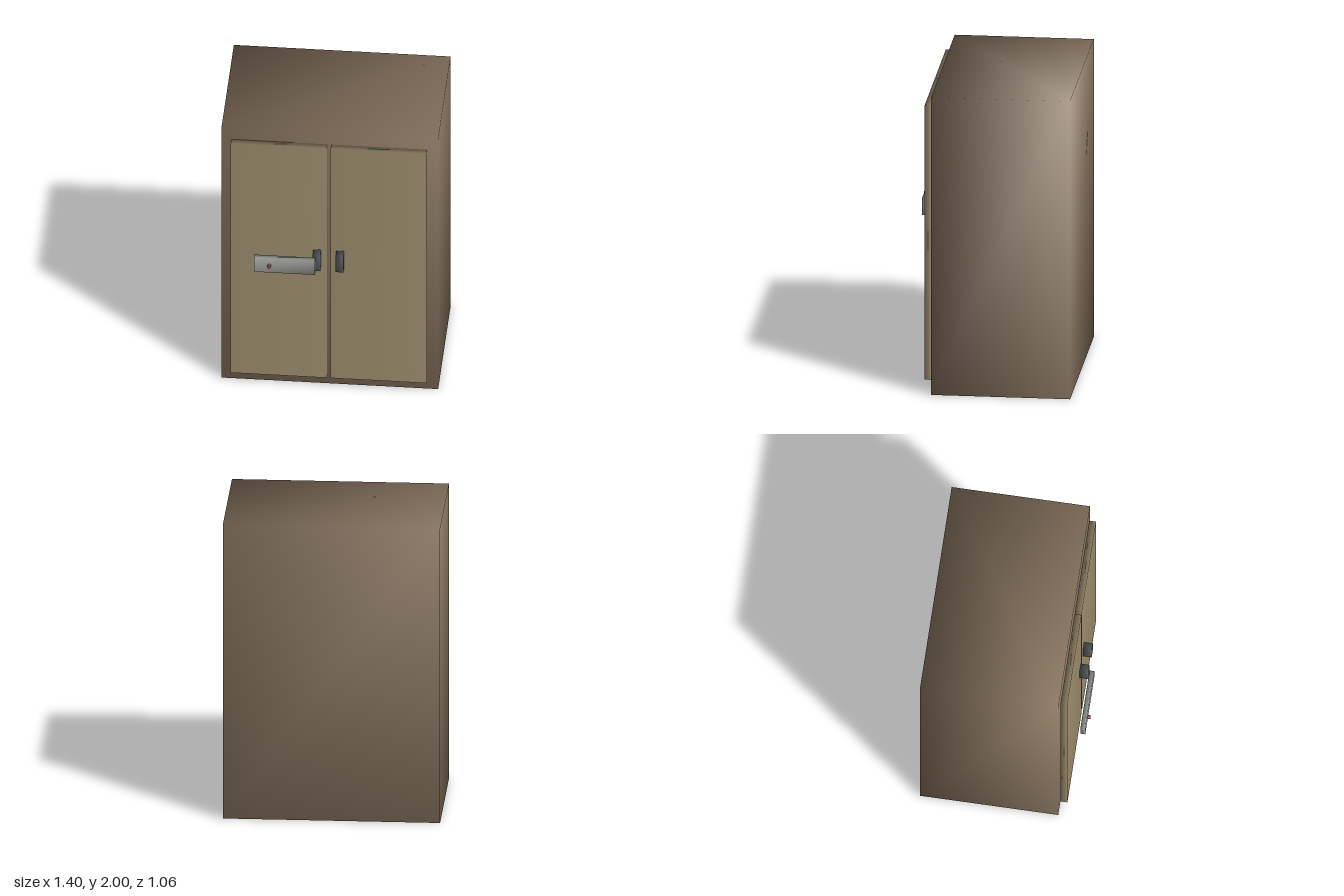
import * as THREE from 'three';
import { mergeVertices } from 'three/addons/utils/BufferGeometryUtils.js';

const paint = (color) => new THREE.MeshStandardMaterial({ color });

// Box given by its extents, with corners shared so the shading runs smoothly round the edges
function smoothBox(name, [x0, x1], [y0, y1], [z0, z1], material) {
  let geometry = new THREE.BoxGeometry(x1 - x0, y1 - y0, z1 - z0);
  geometry.deleteAttribute('normal');
  geometry.deleteAttribute('uv');
  geometry = mergeVertices(geometry);
  geometry.computeVertexNormals();
  const mesh = new THREE.Mesh(geometry, material);
  mesh.name = name;
  mesh.position.set((x0 + x1) / 2, (y0 + y1) / 2, (z0 + z1) / 2);
  return mesh;
}

export function createModel() {
  const model = new THREE.Group();
  model.name = 'cabinet';
  const bodyPaint = paint(0x8b7762);
  const doorPaint = paint(0xa09070);
  const handlePaint = paint(0x5a5d62);
  const platePaint = paint(0xa3a39f);
  const buttonPaint = paint(0x9a5550);

  // Cabinet body
  model.add(smoothBox('body', [-0.7, 0.7], [0, 2], [-0.53, 0.37], bodyPaint));

  // Pair of doors and their handles
  const sides = [
    { side: 'right', door: [-0.635, -0.015], handle: [-0.102, -0.052] },
    { side: 'left', door: [0.01, 0.63], handle: [0.047, 0.097] },
  ];
  for (const { side, door, handle } of sides) {
    model.add(smoothBox(`${side}Door`, door, [0.08, 1.92], [0.375, 0.42], doorPaint));
    model.add(smoothBox(`${side}Handle`, handle, [0.975, 1.105], [0.42, 0.477], handlePaint));
  }

  // Latch plate standing in front of the right door
  model.add(smoothBox('latchPlate', [-0.478, -0.083], [0.97, 1.085], [0.482, 0.513], platePaint));

  // Small round button on the plate
  const button = new THREE.Mesh(new THREE.CylinderGeometry(0.013, 0.013, 0.022, 12), buttonPaint);
  button.name = 'latchButton';
  button.rotation.x = Math.PI / 2;
  button.position.set(-0.378, 1.027, 0.521);
  model.add(button);

  return model;
}
